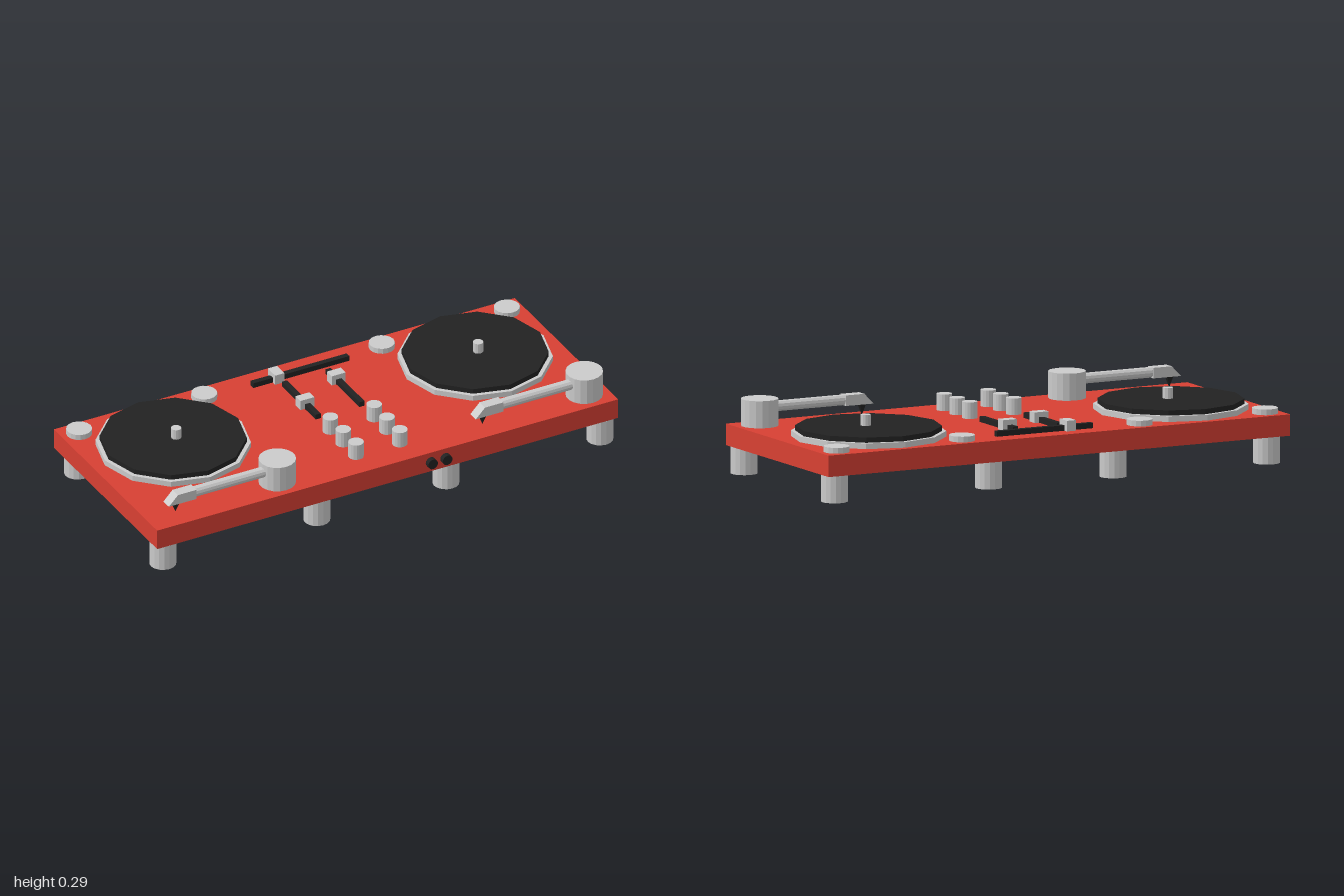
import * as THREE from 'three';

const grey = new THREE.MeshStandardMaterial({ color: 0xcccccc, flatShading: true });
const red = new THREE.MeshStandardMaterial({ color: 0xd84033, flatShading: true });
const black = new THREE.MeshStandardMaterial({ color: 0x222222, flatShading: true });

const DECK = 0.188; // height of the top surface

export function createModel() {
  const model = new THREE.Group();
  model.name = 'djController';

  function add(name, geometry, material, x, y, z, parent = model) {
    const mesh = new THREE.Mesh(geometry, material);
    mesh.name = name;
    mesh.position.set(x, y, z);
    parent.add(mesh);
    return mesh;
  }
  // Upright cylinder between two heights
  function post(name, r, y0, y1, x, z, material = grey, sides = 16, parent = model) {
    const geometry = new THREE.CylinderGeometry(r, r, y1 - y0, sides);
    return add(name, geometry, material, x, (y0 + y1) / 2, z, parent);
  }
  // Box standing between two heights
  function block(name, w, d, y0, y1, x, z, material) {
    return add(name, new THREE.BoxGeometry(w, y1 - y0, d), material, x, (y0 + y1) / 2, z);
  }

  // Case
  block('case', 2, 0.832, 0.105, DECK, 0, -0.009, red);

  // Two rows of feet
  for (const x of [-0.948, -0.28, 0.28, 0.948]) post('frontFoot', 0.052, 0, 0.105, x, 0.356);
  for (const x of [-0.925, -0.26, 0.28, 0.948]) post('backFoot', 0.052, 0, 0.105, x, -0.374);

  // Turntables
  for (const side of [-1, 1]) {
    const x = side * 0.655;
    post('platter', 0.297, DECK, 0.21, x, -0.104, grey, 12);
    post('record', 0.281, 0.21, 0.23, x, -0.104, black, 12);
    post('spindle', 0.02, 0.23, 0.272, x + 0.008, -0.095, grey, 12);
    for (const bx of [0.385, 0.928]) post('cornerButton', 0.05, DECK, 0.21, side * bx, -0.355);
  }

  // Tonearms, both pointing toward -x
  const headShape = new THREE.Shape([
    new THREE.Vector2(-0.487, 0.235), new THREE.Vector2(-0.367, 0.235),
    new THREE.Vector2(-0.367, 0.276), new THREE.Vector2(-0.447, 0.276),
  ]);
  const headGeometry = new THREE.ExtrudeGeometry(headShape, { depth: 0.044, bevelEnabled: false });
  for (const x of [-0.428, 0.904]) {
    const arm = new THREE.Group();
    arm.name = 'tonearm';
    arm.position.set(x, 0, 0.312);
    post('tonearmPivot', 0.072, DECK, 0.293, 0, 0, grey, 18, arm);
    const tube = add('tonearmTube', new THREE.CylinderGeometry(0.021, 0.021, 0.37, 12), grey, -0.19, 0.256, 0.009, arm);
    tube.rotation.z = Math.PI / 2;
    add('tonearmHead', headGeometry, grey, 0, 0, -0.013, arm);
    const needle = add('needle', new THREE.ConeGeometry(0.018, 0.045, 8), black, -0.447, 0.213, 0.009, arm);
    needle.rotation.x = Math.PI;
    model.add(arm);
  }

  // Crossfader
  block('crossfaderSlot', 0.417, 0.022, DECK, 0.209, 0.021, -0.337, black);
  block('crossfaderHandle', 0.04, 0.06, DECK, 0.229, -0.083, -0.337, grey);

  // Channel faders with a column of knobs below each
  for (const [x, handleZ] of [[-0.075, -0.12], [0.115, -0.22]]) {
    block('faderSlot', 0.022, 0.272, DECK, 0.209, x, -0.149, black);
    block('faderHandle', 0.06, 0.04, DECK, 0.229, x, handleZ, grey);
    for (const z of [0.085, 0.188, 0.291]) post('knob', 0.03, DECK, 0.252, x, z);
  }

  // Sockets on the front edge
  for (const x of [0.186, 0.249]) {
    const socket = add('socket', new THREE.CylinderGeometry(0.021, 0.021, 0.022, 16), black, x, 0.147, 0.417);
    socket.rotation.x = Math.PI / 2;
  }

  return model;
}
